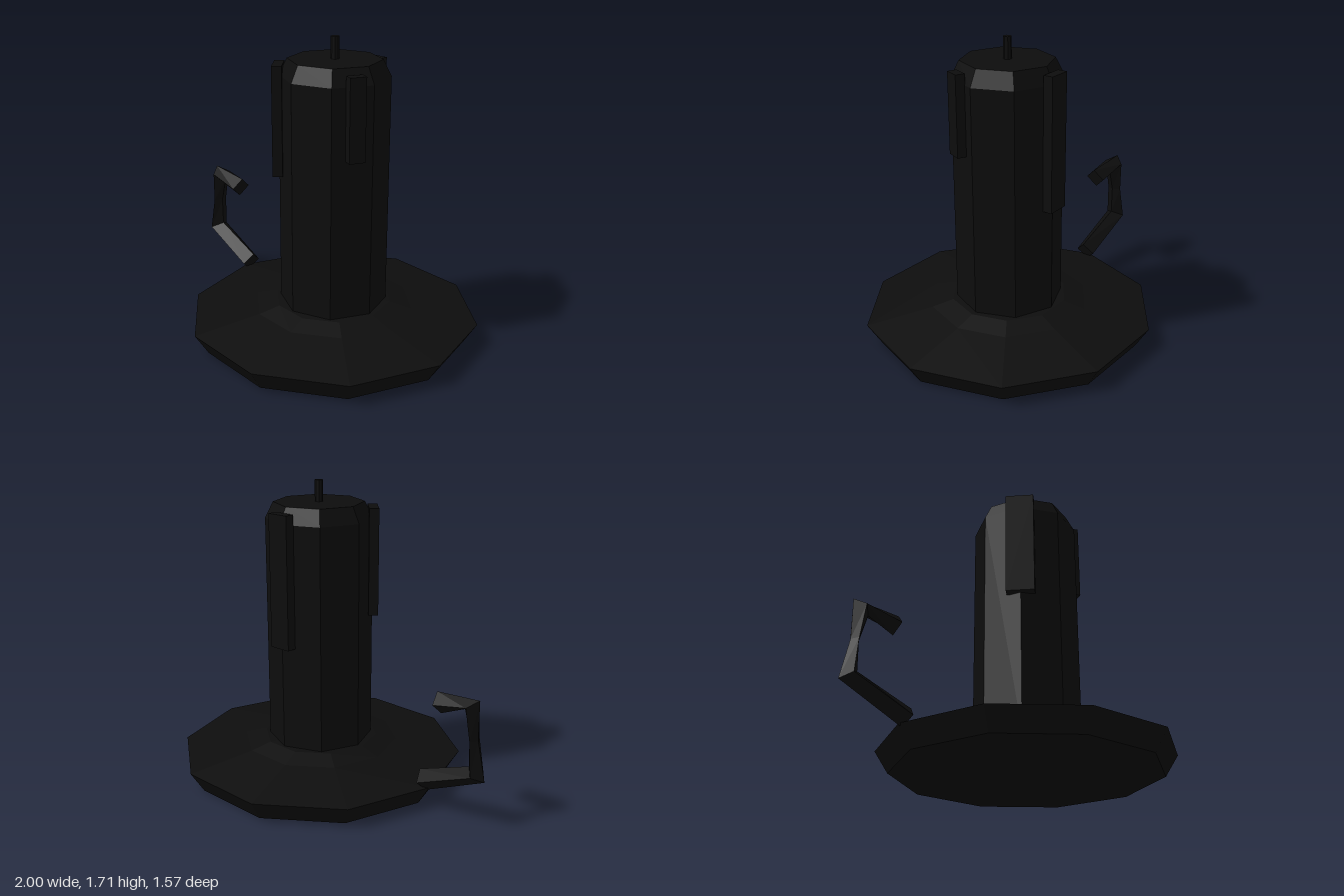
import * as THREE from 'three';

const black = new THREE.MeshStandardMaterial({ color: 0x0d0d0d });
black.name = 'black iron';

const CX = 0.175; // axis of the candle and dish

// faceted mesh: every face gets its own normal
function part(name, geometry) {
  const g = geometry.index ? geometry.toNonIndexed() : geometry;
  g.computeVertexNormals();
  const mesh = new THREE.Mesh(g, black);
  mesh.name = name;
  return mesh;
}

// turned part with a vertex on +x
function turned(name, profile, sides) {
  const pts = profile.map(([r, y]) => new THREE.Vector2(r, y));
  const g = new THREE.LatheGeometry(pts, sides);
  g.rotateY(Math.PI / 2);
  return part(name, g);
}

// wax run: upright slab against the candle at an angle measured from +x towards +z
function drip(name, degrees, width, bottom) {
  const top = 1.56, inner = 0.275, outer = 0.33;
  const g = new THREE.BoxGeometry(outer - inner, top - bottom, width);
  g.translate((inner + outer) / 2, (top + bottom) / 2, 0);
  g.rotateY(-THREE.MathUtils.degToRad(degrees));
  return part(name, g);
}

// handle: diamond sections given by outer and inner edge points and half depth
function handleGeometry() {
  const sections = [
    [-0.63, 0.10, -0.58, 0.21, 0.06],
    [-1.00, 0.27, -0.90, 0.33, 0.06],
    [-0.95, 0.49, -0.903, 0.49, 0.045],
    [-0.95, 0.71, -0.86, 0.64, 0.06],
    [-0.68, 0.69, -0.71, 0.575, 0.06],
  ];
  const pos = [], idx = [];
  sections.forEach(([ox, oy, ix, iy, d], s) => {
    const mx = (ox + ix) / 2, my = (oy + iy) / 2;
    pos.push(ox, oy, 0, mx, my, d, ix, iy, 0, mx, my, -d);
    if (s === 0) return;
    for (let i = 0; i < 4; i++) {
      const j = (i + 1) % 4, a = (s - 1) * 4, b = s * 4;
      idx.push(a + i, a + j, b + j, a + i, b + j, b + i);
    }
  });
  const e = (sections.length - 1) * 4;
  idx.push(0, 2, 1, 0, 3, 2, e, e + 1, e + 2, e, e + 2, e + 3);
  const g = new THREE.BufferGeometry();
  g.setAttribute('position', new THREE.Float32BufferAttribute(pos, 3));
  g.setIndex(idx);
  return g;
}

export function createModel() {
  const model = new THREE.Group();
  model.name = 'candleHolder';

  // everything centred on the candle axis
  const body = new THREE.Group();
  body.name = 'candleAndDish';
  body.position.x = CX;
  body.add(
    turned('dish', [[0, 0], [0.75, 0], [0.825, 0.12], [0.45, 0.18], [0.33, 0.21], [0, 0.21]], 10),
    turned('candle', [[0, 0.15], [0.3, 0.15], [0.3, 1.5], [0.255, 1.59], [0, 1.59]], 8),
    turned('wick', [[0, 1.55], [0.023, 1.55], [0.023, 1.71], [0, 1.71]], 8),
    drip('shortDrip', 21, 0.09, 1.11),
    drip('middleDrip', 135, 0.16, 0.95),
    drip('longDrip', 268, 0.13, 0.81),
  );
  model.add(body);

  // carrying handle on the model's right
  model.add(part('handle', handleGeometry()));
  return model;
}
